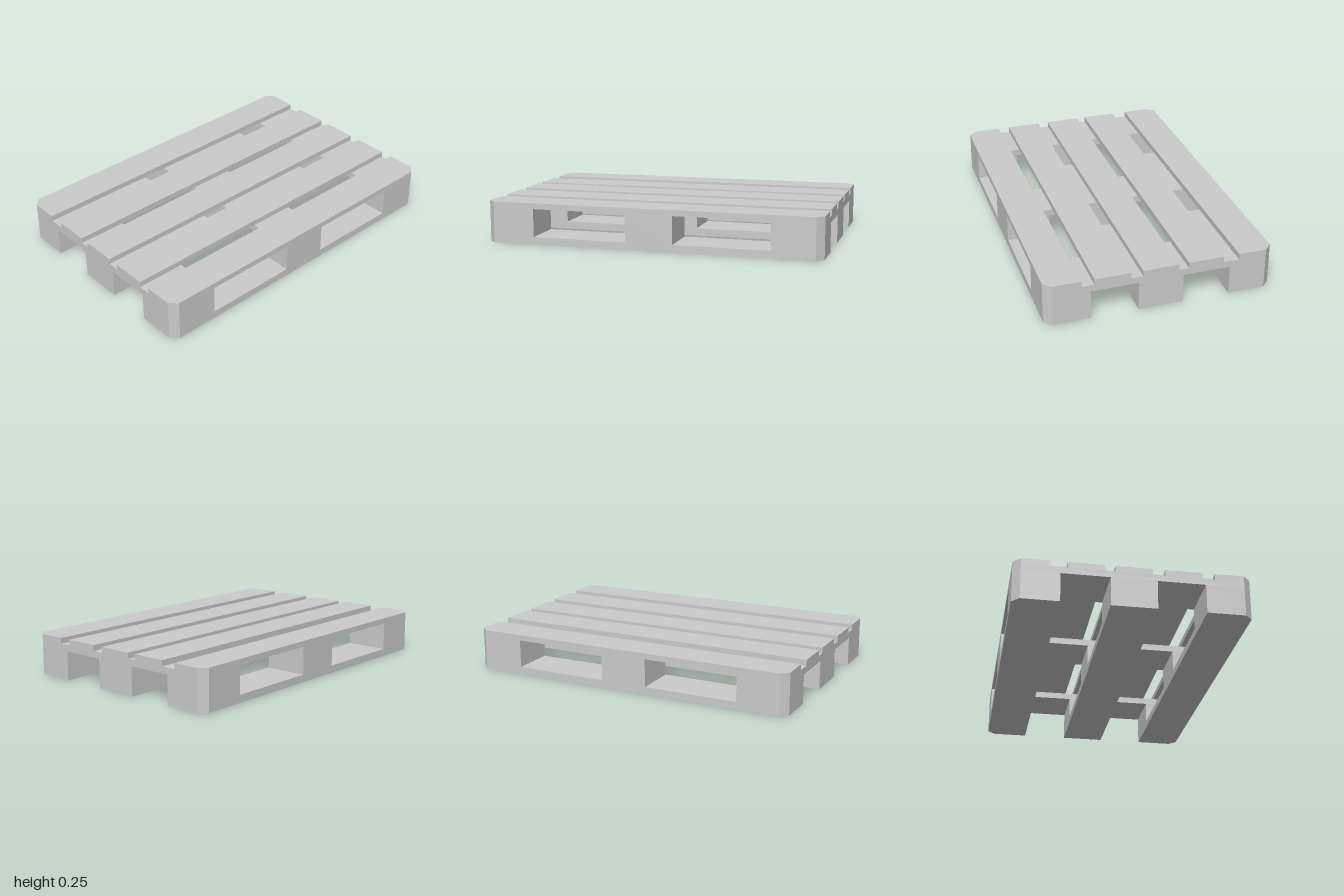
import * as THREE from 'three';

const HALF_X = 0.663, HALF_Z = 1, CHAMFER = 0.043;
// Heights of the layers: bottom runners, blocks, cross boards, deck boards
const Y = [0, 0.045, 0.172, 0.211, 0.245];

const material = new THREE.MeshStandardMaterial({ color: 0xcccccc, flatShading: true });

// Plank between two x, y and z limits; corners on the pallet's outer corners are cut off
function plank(name, [x0, x1], [y0, y1], [z0, z1]) {
  const points = [];
  const corners = [[x0, z1], [x1, z1], [x1, z0], [x0, z0]];
  corners.forEach(([x, z], i) => {
    if (Math.abs(x) === HALF_X && Math.abs(z) === HALF_Z) {
      const alongX = [x - Math.sign(x) * CHAMFER, -z];
      const alongZ = [x, -(z - Math.sign(z) * CHAMFER)];
      points.push(...(i % 2 ? [alongX, alongZ] : [alongZ, alongX]));
    } else points.push([x, -z]);
  });
  const shape = new THREE.Shape(points.map(([x, y]) => new THREE.Vector2(x, y)));
  const geometry = new THREE.ExtrudeGeometry(shape, { depth: y1 - y0, bevelEnabled: false });
  geometry.rotateX(-Math.PI / 2).translate(0, y0, 0);
  const mesh = new THREE.Mesh(geometry, material);
  mesh.name = name;
  return mesh;
}

export function createModel() {
  const pallet = new THREE.Group();
  pallet.name = 'pallet';

  const deckX = [[-HALF_X, -0.458], [-0.366, -0.16], [-0.104, 0.106], [0.174, 0.383], [0.455, HALF_X]];
  const runnerX = [[-HALF_X, -0.404], [-0.13, 0.13], [0.402, HALF_X]];
  const crossZ = [[-HALF_Z, -0.706], [-0.141, 0.141], [0.706, HALF_Z]];
  const fullX = [-HALF_X, HALF_X], fullZ = [-HALF_Z, HALF_Z];

  // Long boards of the top deck
  for (const x of deckX) pallet.add(plank('deckBoard', x, [Y[3], Y[4]], fullZ));

  // Boards running across under the deck
  for (const z of crossZ) pallet.add(plank('crossBoard', fullX, [Y[2], Y[3]], z));

  // Bottom runners, each carrying three blocks
  for (const x of runnerX) {
    pallet.add(plank('bottomRunner', x, [Y[0], Y[1]], fullZ));
    for (const z of crossZ) pallet.add(plank('block', x, [Y[1], Y[2]], z));
  }
  return pallet;
}
